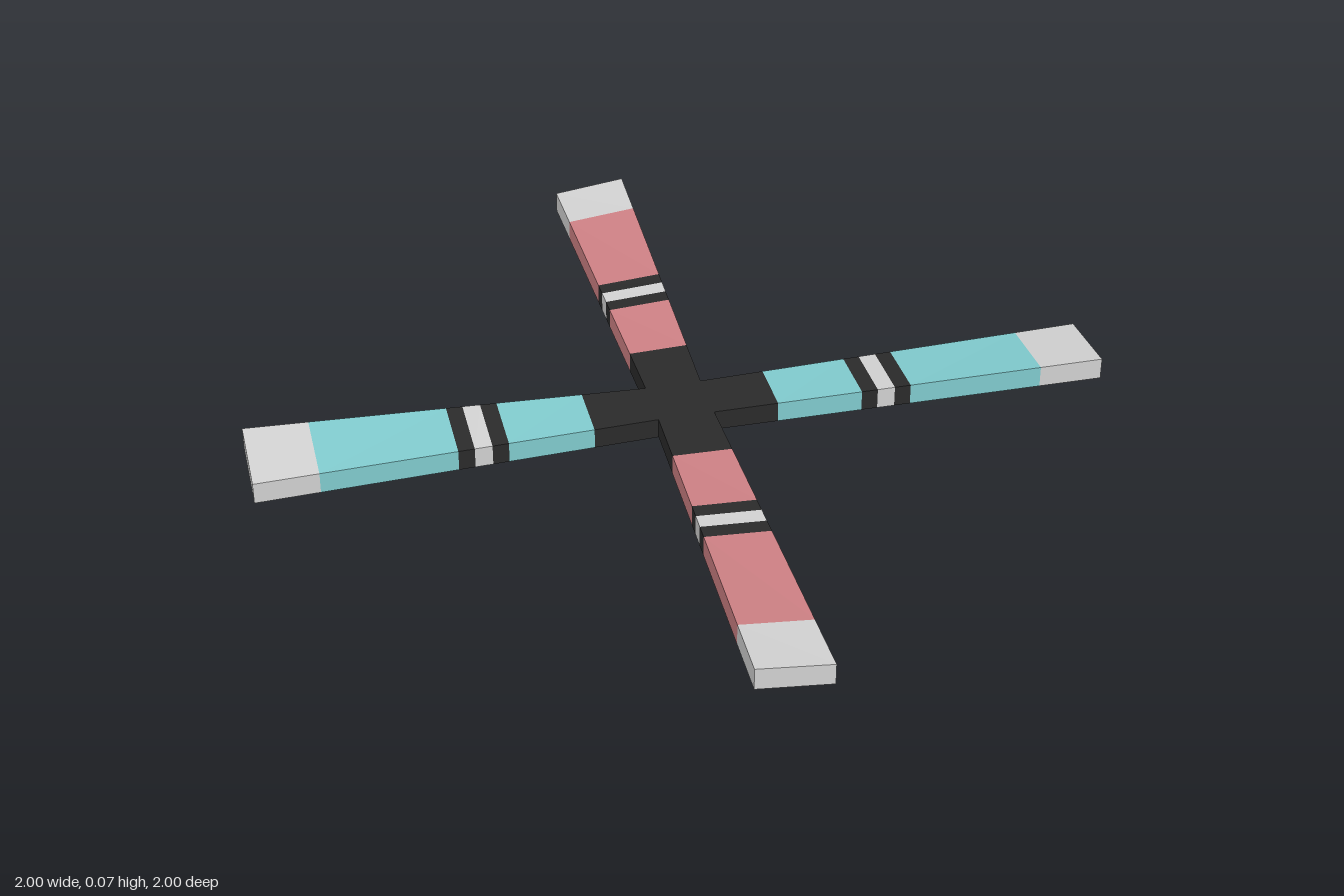
import * as THREE from 'three';

const HUB = 0.066; // half size of the centre block
const material = (name, color) => {
  const m = new THREE.MeshStandardMaterial({ color });
  m.name = name;
  return m;
};

// Cross-section at radius r: the blade widens and twists toward the tip
function section(r, tipWidth) {
  const t = (r - HUB) / (1 - HUB);
  const w = HUB + (tipWidth - HUB) * t;
  return [
    [r, 0.054 + 0.019 * t, w],
    [r, 0.054 - 0.002 * t, -w],
    [r, 0.005 - 0.005 * t, -w],
    [r, 0.005 + 0.015 * t, w],
  ];
}

// Four-sided piece of blade between two radii, capped if it is the tip
function pieceGeometry(r0, r1, tipWidth) {
  const p = section(r0, tipWidth), q = section(r1, tipWidth), v = [];
  for (let i = 0; i < 4; i++) {
    const j = (i + 1) % 4;
    v.push(p[i], q[i], q[j], p[i], q[j], p[j]);
  }
  if (r1 === 1) v.push(q[0], q[3], q[2], q[0], q[2], q[1]);
  const g = new THREE.BufferGeometry();
  g.setAttribute('position', new THREE.Float32BufferAttribute(v.flat(), 3));
  g.computeVertexNormals();
  return g;
}

export function createModel() {
  const black = material('black', 0x2b2b2b);
  const white = material('lightGrey', 0xd4d4d4);
  const red = material('red', 0xd08286);
  const teal = material('teal', 0x82cdd0);

  const model = new THREE.Group();
  model.name = 'crossBoomerang';

  // Centre block
  const hub = new THREE.Mesh(new THREE.BoxGeometry(2 * HUB, 0.049, 2 * HUB), black);
  hub.name = 'hub';
  hub.position.y = 0.0295;
  model.add(hub);

  // Four blades, alternating teal and red, each split into colour bands
  for (let k = 0; k < 4; k++) {
    const paint = k % 2 ? red : teal;
    const tipWidth = k % 2 ? 0.087 : 0.096;
    const blade = new THREE.Group();
    blade.name = k % 2 ? 'redBlade' : 'tealBlade';
    const bands = [
      ['bladeRoot', HUB, 0.217, black],
      ['innerBlade', 0.217, 0.417, paint],
      ['innerStripe', 0.417, 0.455, black],
      ['middleStripe', 0.455, 0.496, white],
      ['outerStripe', 0.496, 0.534, black],
      ['outerBlade', 0.534, 0.85, paint],
      ['bladeTip', 0.85, 1, white],
    ];
    for (const [name, r0, r1, mat] of bands) {
      const mesh = new THREE.Mesh(pieceGeometry(r0, r1, tipWidth), mat);
      mesh.name = name;
      blade.add(mesh);
    }
    blade.rotation.y = (k * Math.PI) / 2;
    model.add(blade);
  }
  return model;
}
